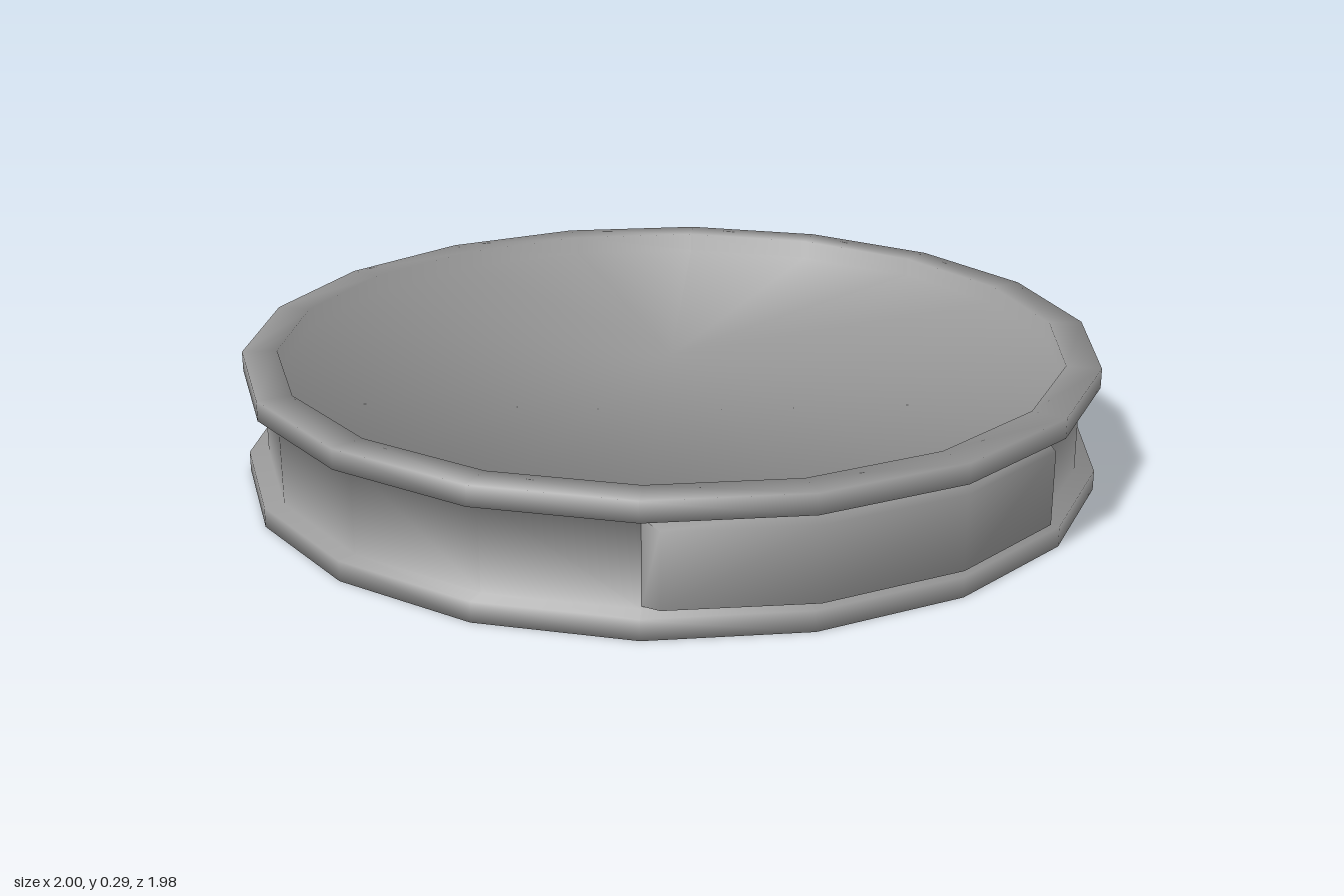
import * as THREE from 'three';

const SIDES = 18;
const material = new THREE.MeshStandardMaterial({ color: 0x999999, side: THREE.DoubleSide });

// Lathe whose normals blend evenly across each profile corner.
function softLathe(profile) {
  const points = profile.map(([r, y]) => new THREE.Vector2(r, y));
  const geometry = new THREE.LatheGeometry(points, SIDES, Math.PI / SIDES);
  const edges = points.slice(1).map((p, i) =>
    new THREE.Vector2(p.y - points[i].y, points[i].x - p.x).normalize());
  const corner = points.map((p, i) => {
    const before = edges[Math.max(i - 1, 0)];
    const after = edges[Math.min(i, edges.length - 1)];
    const normal = before.clone().add(after).normalize();
    // Shorter at the centres, so the shading runs evenly across each cap
    return p.x === 0 ? normal.multiplyScalar(Math.SQRT1_2) : normal;
  });
  const normals = geometry.attributes.normal;
  for (let i = 0; i <= SIDES; i++) {
    const angle = ((2 * i + 1) * Math.PI) / SIDES;
    corner.forEach((n, j) => normals.setXYZ(
      i * corner.length + j, n.x * Math.sin(angle), n.y, n.x * Math.cos(angle)));
  }
  return geometry;
}

// Raised pad following three facets of the hub, with bevelled borders.
function padGeometry(baseRadius) {
  const step = (2 * Math.PI) / SIDES;
  const face = [[-0.464, 0.882], [-0.167, 0.993], [0.167, 0.993], [0.464, 0.882]];
  const baseAt = (k) => {
    const a = (k - 1.5) * step;
    return [baseRadius * Math.sin(a), baseRadius * Math.cos(a)];
  };
  const baseY = [0.053, 0.053, 0.242, 0.242];
  const faceY = [0.053, 0.064, 0.231, 0.242];
  const positions = [];
  const index = [];
  for (let c = 0; c < 6; c++) {
    const k = THREE.MathUtils.clamp(c - 1, 0, 3);
    const end = c === 0 || c === 5;
    for (let r = 0; r < 4; r++) {
      const raised = !end && (r === 1 || r === 2);
      const [x, z] = raised ? face[k] : baseAt(k);
      positions.push(x, end ? baseY[r] : faceY[r], z);
      if (c < 5 && r < 3) {
        const a = c * 4 + r;
        index.push(a, a + 4, a + 5, a, a + 5, a + 1);
      }
    }
  }
  const geometry = new THREE.BufferGeometry();
  geometry.setAttribute('position', new THREE.Float32BufferAttribute(positions, 3));
  geometry.setIndex(index);
  geometry.computeVertexNormals();
  return geometry;
}

export function createModel() {
  const model = new THREE.Group();
  model.name = 'groovedDisc';
  const hubRadius = 0.955;

  // Flat base, lower flange, grooved hub, upper flange and recessed top
  const body = new THREE.Mesh(softLathe([
    [0, 0], [1, 0], [1, 0.046], [hubRadius, 0.046],
    [hubRadius, 0.249], [1, 0.249], [1, 0.295],
    [0.92, 0.295], [0.92, 0.249], [0, 0.249],
  ]), material);
  body.name = 'discBody';

  // Pad on the front of the groove
  const pad = new THREE.Mesh(padGeometry(hubRadius), material);
  pad.name = 'frontPad';

  model.add(body, pad);
  model.position.z = -0.005;
  return model;
}
